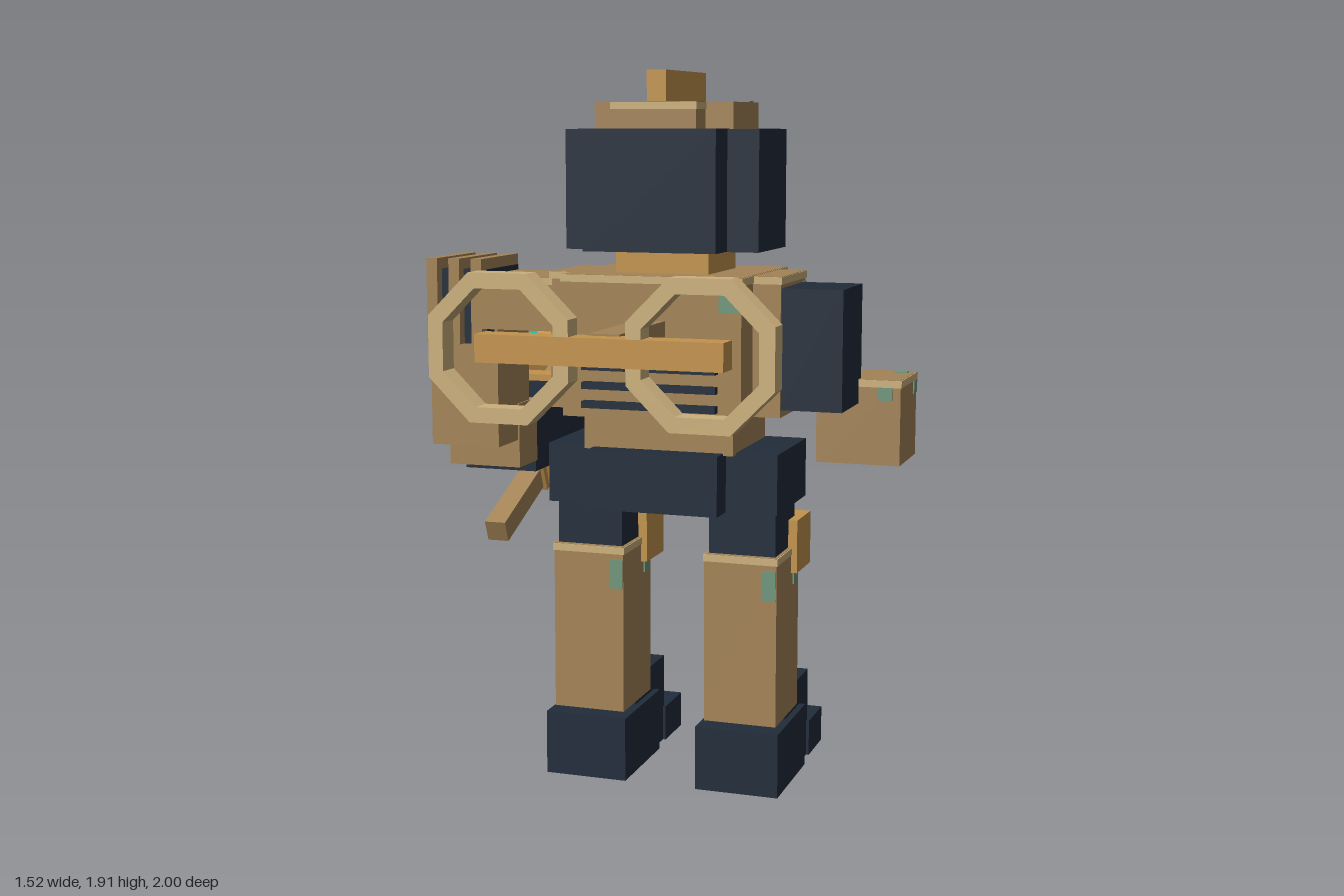
import * as THREE from 'three';

const mat = (name, color) => {
  const m = new THREE.MeshStandardMaterial({ color });
  m.name = name;
  return m;
};

export function createModel() {
  const dark = mat('dark navy', 0x222d3b), tan = mat('tan', 0xa38357), gold = mat('gold', 0xc2934e);
  const light = mat('light edge', 0xcbb07c), teal = mat('teal', 0x12b5ab), pale = mat('pale teal', 0x86bdb4);
  const verdigris = mat('verdigris', 0x6f967c), claw = mat('claw grey', 0xbcb8b0);

  const model = new THREE.Group();
  const group = (name, parent = model) => {
    const g = new THREE.Group();
    g.name = name;
    parent.add(g);
    return g;
  };
  // Box given by its extents on each axis
  const box = (parent, name, m, x0, x1, y0, y1, z0, z1) => {
    const mesh = new THREE.Mesh(new THREE.BoxGeometry(x1 - x0, y1 - y0, z1 - z0), m);
    mesh.position.set((x0 + x1) / 2, (y0 + y1) / 2, (z0 + z1) / 2);
    mesh.name = name;
    parent.add(mesh);
    return mesh;
  };
  // Block with a thin light band around its top edge
  const trimmed = (parent, name, m, x0, x1, y0, y1, z0, z1) => {
    box(parent, name, m, x0, x1, y0, y1, z0, z1);
    box(parent, name + 'Trim', light, x0 - 0.003, x1 + 0.003, y1 - 0.02, y1 - 0.001, z0 - 0.003, z1 + 0.003);
  };
  const cx = 0.155; // body centre line
  // Box centred on the body centre line
  const mid = (parent, name, m, half, y0, y1, z0, z1) =>
    box(parent, name, m, cx - half, cx + half, y0, y1, z0, z1);

  // Head: crossed blocks, cap and crest
  const head = group('head');
  mid(head, 'headSides', dark, 0.265, 1.45, 1.765, 0.255, 0.52);
  mid(head, 'headCore', dark, 0.18, 1.451, 1.766, 0.155, 0.62);
  mid(head, 'visor', dark, 0.215, 1.6, 1.68, 0.135, 0.165);
  mid(head, 'capWide', tan, 0.19, 1.765, 1.834, 0.265, 0.5);
  mid(head, 'capLong', tan, 0.115, 1.765, 1.835, 0.195, 0.58);
  mid(head, 'capEdge', light, 0.117, 1.815, 1.833, 0.193, 0.582);
  box(head, 'capPatch', verdigris, 0.28, 0.335, 1.834, 1.838, 0.28, 0.32);
  mid(head, 'crest', gold, 0.026, 1.83, 1.915, 0.215, 0.555);
  mid(head, 'neck', gold, 0.128, 1.385, 1.455, 0.265, 0.51);
  // Single eye
  mid(head, 'eyeFrameWide', gold, 0.1, 1.59, 1.69, 0.11, 0.15);
  mid(head, 'eyeFrameTall', gold, 0.07, 1.56, 1.72, 0.108, 0.15);
  mid(head, 'eyeWide', teal, 0.072, 1.61, 1.67, 0.1, 0.12);
  mid(head, 'eyeTall', teal, 0.045, 1.585, 1.695, 0.098, 0.12);
  mid(head, 'pupil', verdigris, 0.015, 1.625, 1.655, 0.09, 0.1);

  // Torso
  const torso = group('torso');
  trimmed(torso, 'torsoSides', tan, -0.165, 0.475, 1.02, 1.388, 0.25, 0.5);
  trimmed(torso, 'torsoCore', tan, -0.09, 0.4, 1.015, 1.39, 0.165, 0.605);
  mid(torso, 'waist', tan, 0.207, 0.92, 1.02, 0.24, 0.545);
  mid(torso, 'chestPlate', dark, 0.215, 1.1, 1.305, 0.135, 0.17);
  mid(torso, 'chestCrossBar', teal, 0.085, 1.175, 1.215, 0.12, 0.136);
  mid(torso, 'chestCrossPost', teal, 0.022, 1.13, 1.262, 0.119, 0.136);
  mid(torso, 'chestCrossCentre', teal, 0.045, 1.15, 1.24, 0.113, 0.136);
  for (let i = 0; i < 5; i++) {
    const x = cx - 0.17 + i * 0.085;
    box(torso, 'rivet', gold, x - 0.012, x + 0.012, 1.32, 1.345, 0.148, 0.166);
  }
  for (let i = 0; i < 4; i++)
    mid(torso, 'backSlat', dark, 0.183, 1.042 + i * 0.05, 1.06 + i * 0.05, 0.6, 0.63);
  box(torso, 'backPatch', verdigris, 0.34, 0.397, 1.3, 1.366, 0.604, 0.609);
  box(torso, 'sidePatch', verdigris, 0.474, 0.478, 1.28, 1.36, 0.252, 0.275);
  box(torso, 'frontPatch', verdigris, -0.085, -0.03, 1.32, 1.365, 0.161, 0.166);
  mid(torso, 'hipsWide', dark, 0.32, 0.765, 0.925, 0.225, 0.52);
  mid(torso, 'hipsLong', dark, 0.18, 0.766, 0.926, 0.155, 0.6);

  // Back key: rod, bar and two octagonal rings
  const key = group('backKey');
  mid(key, 'keyRod', tan, 0.04, 1.195, 1.275, 0.6, 0.945);
  mid(key, 'keyBar', gold, 0.318, 1.2, 1.27, 0.93, 1);
  const octagon = (path, r) => {
    for (let i = 0; i < 8; i++) {
      const a = (i + 0.5) * Math.PI / 4;
      path[i ? 'lineTo' : 'moveTo'](r * Math.cos(a), r * Math.sin(a));
    }
    path.closePath();
    return path;
  };
  const ringShape = octagon(new THREE.Shape(), 0.2);
  ringShape.holes.push(octagon(new THREE.Path(), 0.158));
  const ringGeo = new THREE.ExtrudeGeometry(ringShape, { depth: 0.062, bevelEnabled: false });
  for (const s of [-1, 1]) {
    const ring = new THREE.Mesh(ringGeo, light);
    ring.position.set(cx + s * 0.258, 1.235, 0.935);
    ring.name = 'keyRing';
    key.add(ring);
  }

  // Legs and clawed feet
  for (const s of [-1, 1]) {
    const leg = group(s < 0 ? 'rightLeg' : 'leftLeg');
    leg.position.x = cx + s * 0.215;
    box(leg, 'thigh', dark, -0.092, 0.092, 0.63, 0.77, 0.29, 0.485);
    trimmed(leg, 'shin', tan, -0.1, 0.1, 0.185, 0.645, 0.275, 0.5);
    box(leg, 'kneeCap', gold, -0.117, 0.117, 0.575, 0.72, 0.212, 0.355);
    box(leg, 'shinLight', teal, -0.015, 0.015, 0.26, 0.52, 0.255, 0.277);
    box(leg, 'shinPatch', verdigris, 0.06, 0.098, 0.53, 0.61, 0.499, 0.504);
    box(leg, 'shinSidePatch', verdigris, 0.099, 0.104, 0.54, 0.6, 0.3, 0.335);
    box(leg, 'heel', dark, -0.115, 0.115, 0, 0.175, 0.24, 0.53);
    box(leg, 'instep', dark, -0.098, 0.098, 0, 0.25, 0.15, 0.4);
    for (let i = -1; i <= 1; i++) {
      const x = i * 0.075;
      box(leg, 'toe', dark, x - 0.031, x + 0.031, 0, 0.1, 0.015, 0.16);
      box(leg, 'toeClaw', claw, x - 0.016, x + 0.016, 0.003, 0.065, -0.025, 0.016);
    }
  }

  // Left shoulder block and separate fist
  const leftArm = group('leftArm');
  box(leftArm, 'shoulderBlock', dark, 0.47, 0.638, 1.04, 1.358, 0.275, 0.492);
  trimmed(leftArm, 'fist', tan, 0.523, 0.752, 0.875, 1.105, 0.093, 0.303);
  box(leftArm, 'fistPatch', verdigris, 0.69, 0.73, 1.05, 1.085, 0.302, 0.307);
  box(leftArm, 'fistSidePatch', verdigris, 0.751, 0.756, 1.05, 1.085, 0.1, 0.14);
  box(leftArm, 'fistTopPatch', verdigris, 0.7, 0.735, 1.104, 1.108, 0.11, 0.14);

  // Right shoulder, ribbed pad and upper arm
  const rightArm = group('rightArm');
  trimmed(rightArm, 'shoulder', tan, -0.385, -0.16, 1.225, 1.37, 0.255, 0.5);
  box(rightArm, 'shoulderPad', dark, -0.535, -0.365, 1.18, 1.385, 0.25, 0.47);
  for (let i = 0; i < 3; i++) {
    const x = -0.515 + i * 0.066;
    box(rightArm, 'padRib', tan, x - 0.016, x + 0.016, 1.18, 1.415, 0.245, 0.5);
    box(rightArm, 'padRibTip', pale, x - 0.012, x + 0.012, 1.2, 1.26, 0.232, 0.246);
  }
  trimmed(rightArm, 'upperArm', tan, -0.56, -0.357, 0.885, 1.25, 0.2, 0.42);
  box(rightArm, 'upperArmPanel', dark, -0.515, -0.4, 0.98, 1.2, 0.194, 0.201);
  box(rightArm, 'upperArmSidePanel', dark, -0.567, -0.559, 0.98, 1.2, 0.25, 0.37);
  box(rightArm, 'elbow', tan, -0.57, -0.352, 0.805, 0.99, 0.155, 0.285);
  box(rightArm, 'forearm', dark, -0.575, -0.353, 0.773, 0.98, -0.26, 0.165);
  box(rightArm, 'cuff', gold, -0.59, -0.335, 0.758, 1.0, -0.355, -0.257);

  // Wrist and tool, angled upward; local -z runs along the tool
  const tilt = 22.5 * Math.PI / 180;
  const tool = group('tool', rightArm);
  tool.position.set(-0.463, 0.92, -0.5);
  tool.rotation.x = tilt;
  // Box centred on the tool axis between two distances along it
  const along = (name, m, half, h, s0, s1, x = 0) =>
    box(tool, name, m, x - half, x + half, -h, h, -s1, -s0);
  along('wrist', tan, 0.1, 0.096, -0.19, 0);
  box(tool, 'wristPatch', verdigris, 0.03, 0.07, 0.095, 0.1, -0.05, -0.015);
  along('toolShaft', tan, 0.032, 0.032, -0.01, 0.26);
  along('toolCollar', gold, 0.068, 0.05, 0.225, 0.27);
  along('crystalBase', teal, 0.13, 0.055, 0.26, 0.36);
  along('crystalStep', teal, 0.108, 0.08, 0.29, 0.385);
  along('crystalStep', teal, 0.088, 0.068, 0.33, 0.415);
  along('crystalStep', teal, 0.068, 0.052, 0.36, 0.45);
  along('crystalNeck', pale, 0.054, 0.04, 0.4, 0.485);
  along('crystalTip', pale, 0.04, 0.028, 0.44, 0.53);
  for (const s of [-1, 1]) {
    along('prongGrip', gold, 0.061, 0.046, 0.085, 0.36, s * 0.203);
    along('prongBlade', teal, 0.06, 0.039, 0.215, 0.465, s * 0.237);
    along('prongTip', pale, 0.035, 0.02, 0.46, 0.469, s * 0.237);
  }

  // Slanted rod beneath the forearm with ribs
  const rod = group('underRod', rightArm);
  rod.position.set(-0.458, 0.693, -0.015);
  rod.rotation.x = tilt;
  box(rod, 'rodShaft', tan, -0.032, 0.032, -0.032, 0.032, -0.25, 0.25);
  for (let i = 0; i < 4; i++) {
    const z = -0.19 + i * 0.045;
    box(rod, 'rodRib', gold, -0.043, 0.043, -0.043, 0.043, z - 0.011, z + 0.011);
  }
  return model;
}
